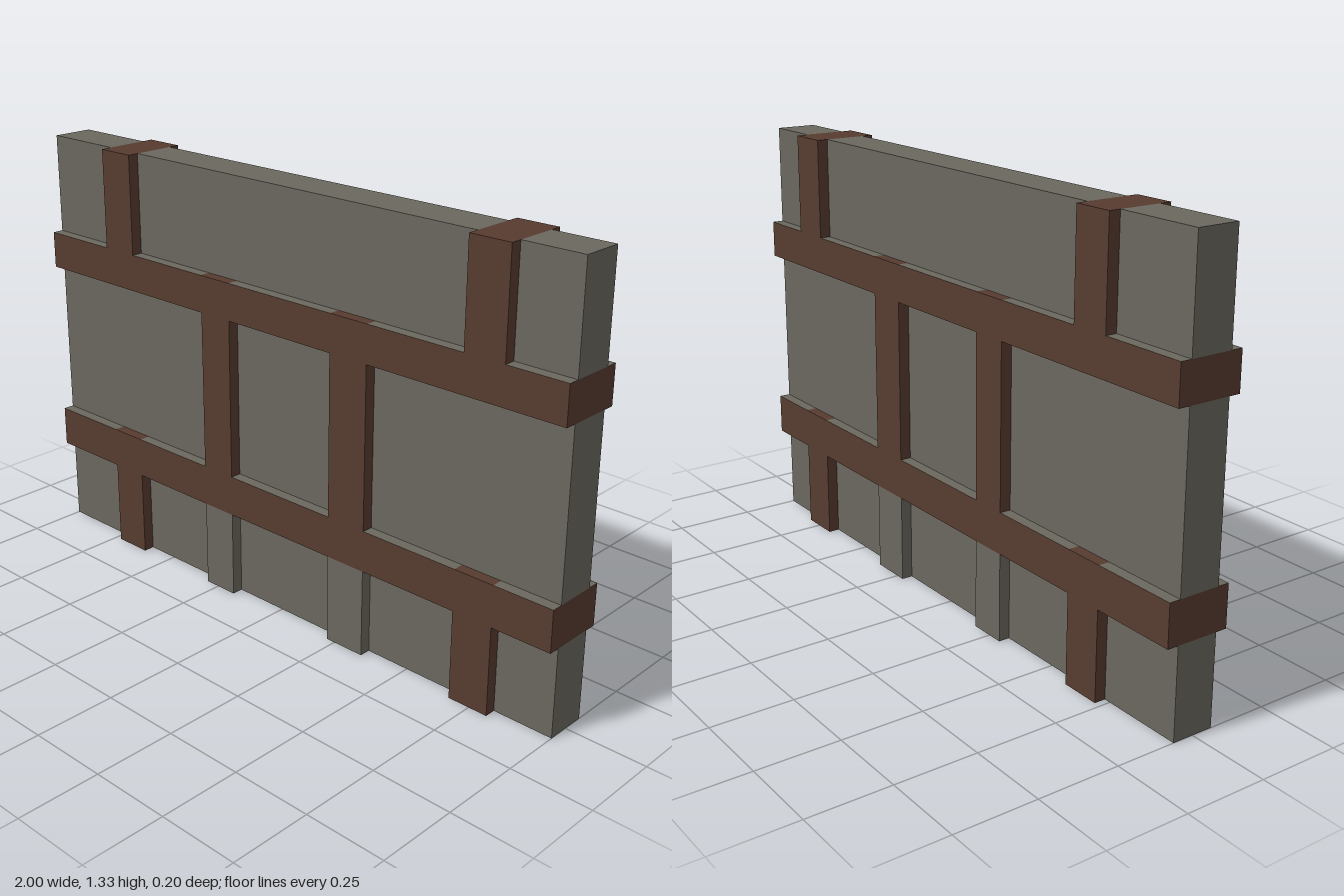
import * as THREE from 'three';

export function createModel() {
  const model = new THREE.Group();
  model.name = 'timberFramedWall';

  const stone = new THREE.MeshStandardMaterial({ color: 0x6a675e });
  stone.name = 'grey plaster';
  const wood = new THREE.MeshStandardMaterial({ color: 0x573c2f });
  wood.name = 'dark timber';

  const PANEL = 0.13, RAISED = 0.2; // depths through the wall
  // Column and row boundaries of the framing grid
  const xs = [-1, -0.73, -0.605, -0.298, -0.18, 0.22, 0.355, 0.68, 0.81, 1];
  const ys = [0, 0.275, 0.403, 0.905, 1.021, 1.333];
  const isPost = (c) => c === 1 || c === 7;
  const isStud = (c) => c === 3 || c === 5;

  function block(name, c0, c1, r, depth, material) {
    const w = xs[c1] - xs[c0], h = ys[r + 1] - ys[r];
    const mesh = new THREE.Mesh(new THREE.BoxGeometry(w, h, depth), material);
    mesh.name = name;
    mesh.position.set(xs[c0] + w / 2, ys[r] + h / 2, 0);
    model.add(mesh);
  }

  // Rails: timber faces and ends, grey ledges except where posts and studs cross
  const railFaces = [wood, wood, stone, stone, wood, wood];

  for (let r = 0; r < ys.length - 1; r++) {
    for (let c = 0; c < xs.length - 1; c++) {
      const crossing = isPost(c) || isStud(c);
      if (r === 1 || r === 3) block('rail', c, c + 1, r, RAISED, crossing ? wood : railFaces);
      else if (isPost(c) && r !== 2) block('outerPost', c, c + 1, r, RAISED, wood);
      else if (isStud(c) && r === 2) block('middleStud', c, c + 1, r, RAISED, wood);
      else if (isStud(c) && r === 0) block('plasterStub', c, c + 1, r, RAISED, stone);
      else block('wallPanel', c, c + 1, r, PANEL, stone);
    }
  }
  return model;
}
